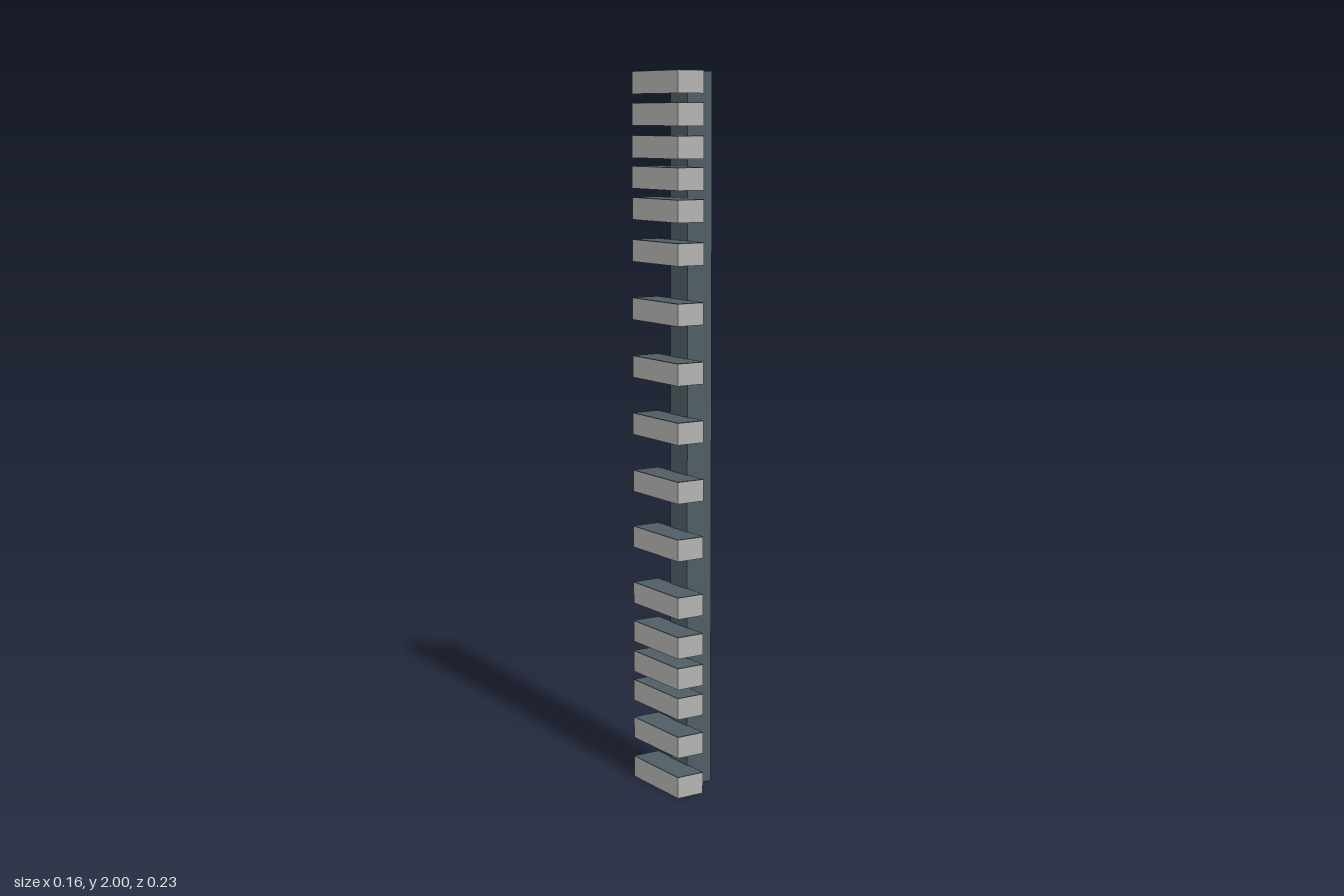
import * as THREE from 'three';

const slate = new THREE.MeshStandardMaterial({ color: 0x4f5d64 });
slate.name = 'slate';
const paleGrey = new THREE.MeshStandardMaterial({ color: 0xb3b4b1 });
paleGrey.name = 'pale grey';

// Box given by its minimum and maximum corners
function box(name, material, [x0, y0, z0], [x1, y1, z1]) {
  const mesh = new THREE.Mesh(new THREE.BoxGeometry(x1 - x0, y1 - y0, z1 - z0), material);
  mesh.position.set((x0 + x1) / 2, (y0 + y1) / 2, (z0 + z1) / 2);
  mesh.name = name;
  return mesh;
}

const X0 = -0.079, X1 = 0.004, Z = 0.114, DROP = 0.061, PLATE = 0.002, SKIN = 0.002, LIP = 0.004;

// One ledge: a dark plate with pale panels on two sides and an open rear end
function createLedge(top) {
  const ledge = new THREE.Group();
  ledge.name = 'ledge';
  const under = top - PLATE, low = top - DROP;
  ledge.add(
    box('ledgePlate', slate, [X0, under, -Z], [X1, top, Z]),
    box('outerPanel', paleGrey, [X0, low, -Z], [X0 + SKIN, under, Z]),
    box('frontPanel', paleGrey, [X0 + SKIN, low, Z - SKIN], [X1, under, Z]),
    // Slim lip and corner post framing the open end
    box('rearLip', paleGrey, [X0 + SKIN, under - LIP, -Z], [X1, under, -Z + SKIN]),
    box('rearPost', paleGrey, [X1 - SKIN, low, -Z], [X1, under - LIP, -Z + SKIN])
  );
  return ledge;
}

export function createModel() {
  const model = new THREE.Group();
  model.name = 'ledgedColumn';

  // Tall square column
  model.add(box('column', slate, [-0.001, 0.007, -0.042], [0.079, 1.999, 0.042]));

  // Ledges, closely spaced at both ends and wider in the middle
  const tops = [2, 1.915, 1.828, 1.745, 1.66, 1.545, 1.384, 1.223, 1.062,
    0.9, 0.74, 0.578, 0.466, 0.378, 0.293, 0.182, 0.066];
  tops.forEach((top) => model.add(createLedge(top)));
  return model;
}
